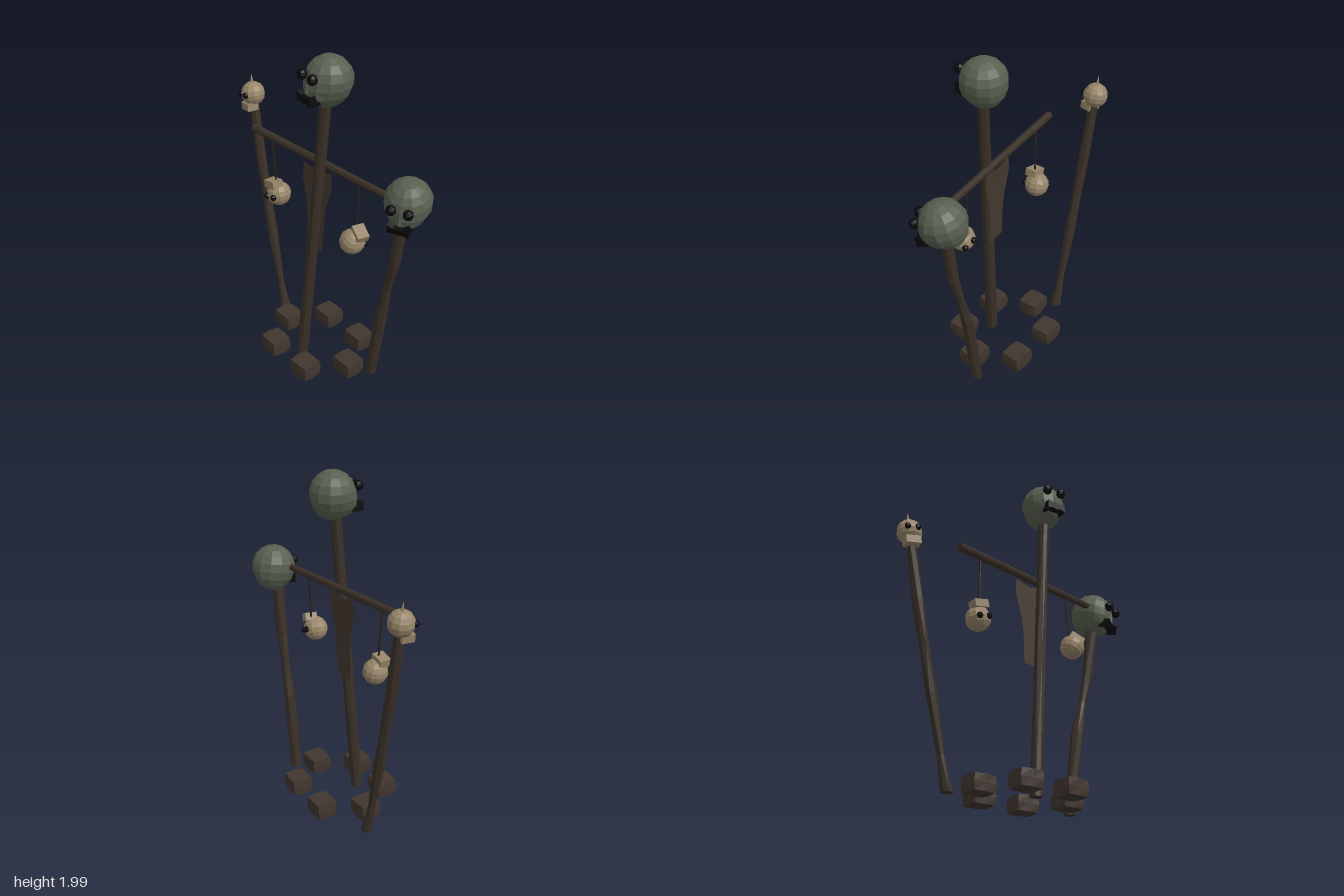
import * as THREE from 'three';

const mat = (name, color, extra = {}) => {
  const m = new THREE.MeshStandardMaterial({ color, flatShading: true, ...extra });
  m.name = name;
  return m;
};

export function createModel() {
  const wood = mat('dark wood', 0x3a3027);
  const stone = mat('brown stone', 0x41362f);
  const hide = mat('hide cloth', 0x43382f, { side: THREE.DoubleSide });
  const green = mat('mossy skull', 0x586050);
  const bone = mat('old bone', 0x968468);
  const rope = mat('rope', 0x2a221b);
  const black = mat('black', 0x090909);

  const model = new THREE.Group();
  const V = (x, y, z) => new THREE.Vector3(x, y, z);

  const add = (parent, name, geo, material, pos = [0, 0, 0], rot = [0, 0, 0]) => {
    const g = geo.index ? geo.toNonIndexed() : geo;
    g.computeVertexNormals();
    const mesh = new THREE.Mesh(g, material);
    mesh.name = name;
    mesh.position.set(...pos);
    mesh.rotation.set(...rot);
    parent.add(mesh);
    return mesh;
  };

  // Move every vertex of a geometry by a rule
  const reshape = (geo, rule) => {
    const p = geo.attributes.position;
    const v = new THREE.Vector3();
    for (let i = 0; i < p.count; i++) {
      rule(v.fromBufferAttribute(p, i));
      p.setXYZ(i, v.x, v.y, v.z);
    }
    return geo;
  };

  // Crooked pole lofted through rings of [x, y, z, radius]
  const pole = (name, rings, sides = 7) => {
    const pos = [], idx = [];
    rings.forEach(([x, y, z, r], k) => {
      for (let i = 0; i < sides; i++) {
        const a = (i / sides) * Math.PI * 2 + k * 0.3;
        pos.push(x + Math.cos(a) * r, y, z + Math.sin(a) * r);
      }
    });
    for (let k = 0; k < rings.length - 1; k++)
      for (let i = 0; i < sides; i++) {
        const a = k * sides + i, b = k * sides + (i + 1) % sides;
        idx.push(a, a + sides, b, b, a + sides, b + sides);
      }
    const top = (rings.length - 1) * sides;
    for (let i = 1; i < sides - 1; i++) {
      idx.push(0, i, i + 1);
      idx.push(top, top + i + 1, top + i);
    }
    const geo = new THREE.BufferGeometry();
    geo.setAttribute('position', new THREE.Float32BufferAttribute(pos, 3));
    geo.setIndex(idx);
    add(model, name, geo, wood);
  };

  // Straight round bar between two points
  const bar = (name, a, b, r0, r1, sides, material) => {
    const d = b.clone().sub(a);
    const m = add(model, name, new THREE.CylinderGeometry(r1, r0, d.length(), sides), material,
      a.clone().add(b).multiplyScalar(0.5).toArray());
    m.quaternion.setFromUnitVectors(V(0, 1, 0), d.normalize());
  };

  const headGroup = (name, pos, yaw, pitch, roll) => {
    const g = new THREE.Group();
    g.name = name;
    g.position.set(...pos);
    g.rotation.set(pitch, yaw, roll, 'YXZ');
    model.add(g);
    return g;
  };

  // Large skull with a narrowed jaw, round eye sockets and a toothed mouth
  const bigSkull = (name, ...pose) => {
    const g = headGroup(name, ...pose);
    add(g, 'cranium', reshape(new THREE.SphereGeometry(0.131, 12, 9), v => {
      const t = Math.min(1, Math.max(0, -v.y / 0.1));
      if (v.y < 0) v.y = Math.max(v.y * 1.15, -0.145);
      v.x *= 1 - 0.12 * t;
      if (v.z > 0) v.z *= 1 + 0.3 * t;
    }), green);
    for (const s of [-1, 1])
      add(g, 'eyeSocket', new THREE.SphereGeometry(0.029, 8, 6), black, [s * 0.047, 0.04, 0.133]);
    add(g, 'nose', new THREE.ConeGeometry(0.018, 0.07, 4), green, [0, -0.01, 0.13]);
    const mouth = new THREE.Shape([[-0.06, -0.03], [-0.03, -0.02], [0, -0.026], [0.03, -0.02],
      [0.06, -0.03], [0.055, 0.027], [0.025, 0.012], [-0.025, 0.012], [-0.055, 0.027]]
      .map(p => new THREE.Vector2(...p)));
    add(g, 'mouth', new THREE.ExtrudeGeometry(mouth, { depth: 0.07, bevelEnabled: false }),
      black, [0, -0.073, 0.09]);
  };

  // Small skull with a block jaw
  const smallSkull = (name, ...pose) => {
    const g = headGroup(name, ...pose);
    add(g, 'cranium', new THREE.SphereGeometry(0.073, 11, 8), bone);
    add(g, 'jaw', new THREE.BoxGeometry(0.088, 0.045, 0.07), bone, [0, -0.073, 0.028]);
    for (const s of [-1, 1])
      add(g, 'eyeSocket', new THREE.SphereGeometry(0.019, 7, 5), black, [s * 0.03, 0.003, 0.064]);
    return g;
  };

  // Poles
  pole('centrePole', [[0.022, 0.01, 0.115, 0.035], [0.085, 0.87, 0.08, 0.035], [0.147, 1.74, 0.045, 0.032]], 8);
  pole('leftPole', [[0.415, 0.01, -0.098, 0.033], [0.483, 0.5, -0.1, 0.037],
    [0.527, 0.7, -0.096, 0.024], [0.572, 0.88, -0.09, 0.033], [0.615, 1.2, -0.09, 0.036]]);
  pole('rightPole', [[-0.4, 0.01, -0.08, 0.035], [-0.445, 0.2, -0.08, 0.021],
    [-0.515, 0.52, -0.08, 0.033], [-0.57, 0.78, -0.082, 0.029], [-0.625, 1.05, -0.085, 0.033], [-0.685, 1.4, -0.09, 0.028]]);

  // Crossbar and cords
  bar('crossbar', V(-0.466, 1.362, 0.07), V(0.55, 1.328, -0.038), 0.024, 0.02, 8, wood);
  bar('rightCord', V(-0.315, 1.35, 0.053), V(-0.305, 1.03, 0.04), 0.006, 0.006, 5, rope);
  bar('leftCord', V(0.352, 1.33, -0.017), V(0.365, 1.03, 0), 0.006, 0.006, 5, rope);

  // Skulls
  bigSkull('centreSkull', [0.155, 1.868, 0.03], -0.11, 0, 0);
  bigSkull('leftSkull', [0.638, 1.315, -0.103], 0.44, 0.24, -0.06);
  const horned = smallSkull('rightSkull', [-0.697, 1.452, -0.092], -0.17, 0, 0.14);
  add(horned, 'spike', new THREE.ConeGeometry(0.012, 0.07, 5), bone, [0, 0.092, 0]);
  smallSkull('hangingSkullRight', [-0.302, 0.978, 0.025], 0, 0, Math.PI + 0.2);
  smallSkull('hangingSkullLeft', [0.36, 0.978, 0.028], 2.88, 0, Math.PI + 0.48);

  // Tattered hide behind the centre pole
  const rows = [[-0.05, 0.162, 1.305], [-0.056, 0.168, 1.21], [-0.018, 0.13, 1.07], [-0.005, 0.122, 0.95], [-0.005, 0.115, 0.78]];
  add(model, 'hide', reshape(new THREE.PlaneGeometry(1, 4, 2, 4), v => {
    const [x0, x1, y] = rows[Math.round(2 - v.y)];
    const x = THREE.MathUtils.lerp(x0, x1, v.x + 0.5);
    const z = 0.024 + (1.305 - y) * 0.04 - 0.1 * (x - 0.06);
    v.set(x, y - (v.x === 0 && y > 1.3 ? 0.02 : 0), z);
  }), hide);

  // Ring of worn stones around the foot
  for (let i = 0; i < 6; i++) {
    const a = (i * Math.PI) / 3;
    const geo = reshape(new THREE.BoxGeometry(0.132, 0.092, 0.118, 2, 2, 2), v => {
      const mids = [v.x, v.y, v.z].filter(c => Math.abs(c) < 1e-6).length;
      const k = mids === 2 ? 1.08 : mids === 1 ? 1.06 : 0.98;
      v.set(v.x * k, v.y * Math.min(k, 1.02), v.z * k);
    });
    add(model, 'stone', geo, stone,
      [0.03 + Math.cos(a) * 0.29, 0.056, Math.sin(a) * 0.248], [0, Math.sin(i * 2.3) * 0.06, 0]);
  }
  return model;
}
